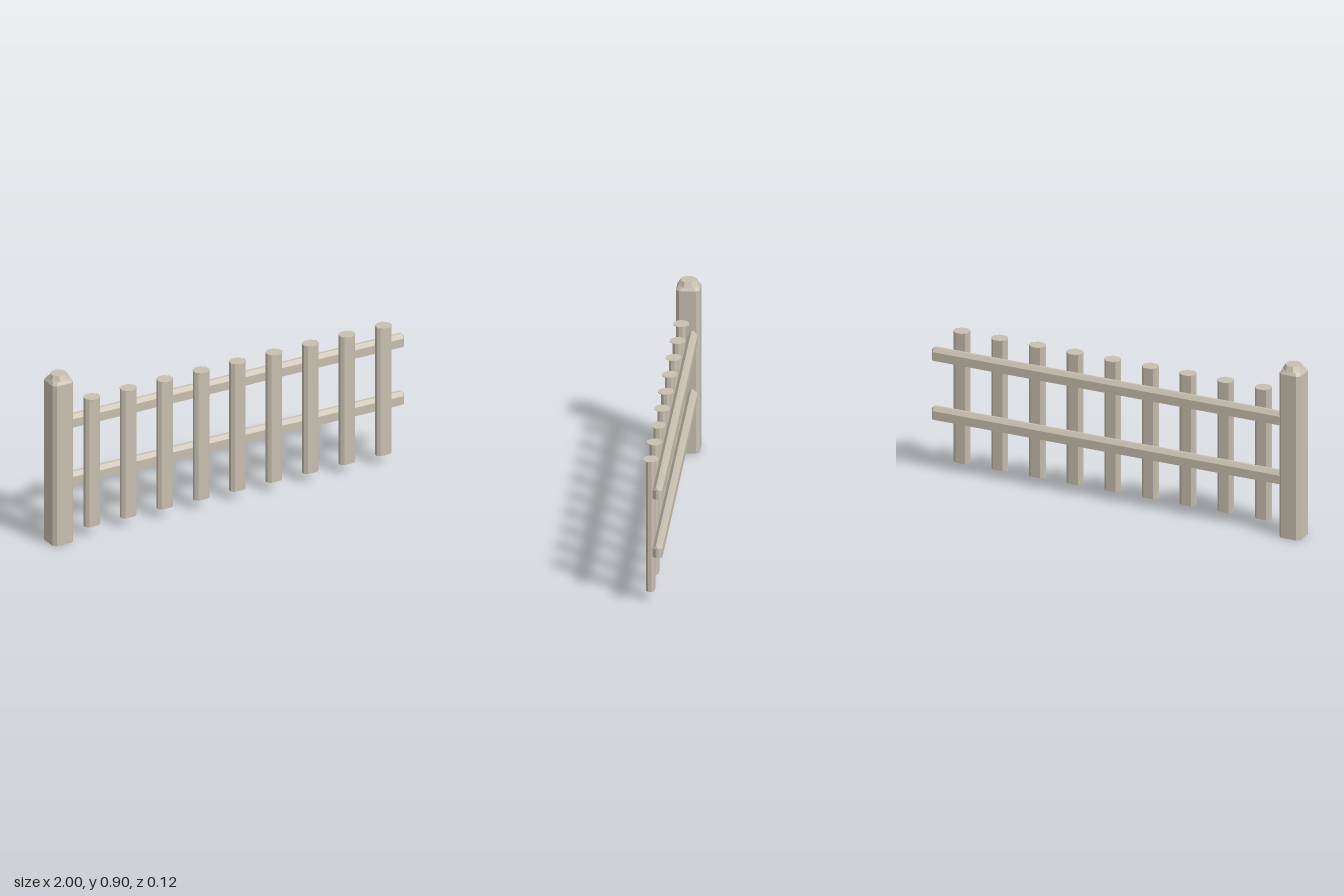
import * as THREE from 'three';

// Joins equal-length rings of Vector3 with flat faces; optional end caps.
function loft(rings, capStart, capEnd) {
  const pos = [];
  const tri = (...pts) => pts.forEach((p) => pos.push(p.x, p.y, p.z));
  const n = rings[0].length;
  for (let r = 0; r < rings.length - 1; r++) {
    for (let i = 0; i < n; i++) {
      const j = (i + 1) % n;
      const [a, b, c, d] = [rings[r][i], rings[r][j], rings[r + 1][j], rings[r + 1][i]];
      tri(a, b, c);
      tri(a, c, d);
    }
  }
  const last = rings[rings.length - 1];
  for (let i = 1; i < n - 1; i++) {
    if (capStart) tri(rings[0][0], rings[0][i + 1], rings[0][i]);
    if (capEnd) tri(last[0], last[i], last[i + 1]);
  }
  const geo = new THREE.BufferGeometry();
  geo.setAttribute('position', new THREE.Float32BufferAttribute(pos, 3));
  geo.computeVertexNormals();
  return geo;
}

// Horizontal rectangle with cut corners, wound so lofting upward faces outward.
function octagon(y, hx, hz, cx, cz) {
  return [
    [hx, hz - cz], [hx, -hz + cz], [hx - cx, -hz], [-hx + cx, -hz],
    [-hx, -hz + cz], [-hx, hz - cz], [-hx + cx, hz], [hx - cx, hz],
  ].map(([x, z]) => new THREE.Vector3(x, y, z));
}

// Upright rail section with a bevelled top, in the plane x.
function railSection(x, halfWidth, shoulder, top, topHalf) {
  return [
    [0, halfWidth], [0, -halfWidth], [shoulder, -halfWidth],
    [top, -topHalf], [top, topHalf], [shoulder, halfWidth],
  ].map(([y, z]) => new THREE.Vector3(x, y, z));
}

export function createModel() {
  const model = new THREE.Group();
  model.name = 'fence';
  const wood = new THREE.MeshStandardMaterial({ color: 0xc8bfb0, side: THREE.DoubleSide, flatShading: true });
  wood.name = 'paleWood';

  const add = (parent, name, geometry, x = 0, y = 0, z = 0) => {
    const mesh = new THREE.Mesh(geometry, wood);
    mesh.name = name;
    mesh.position.set(x, y, z);
    parent.add(mesh);
  };

  // End post, open underneath, with a bevelled shoulder and a faceted cap
  const post = new THREE.Group();
  post.name = 'endPost';
  post.position.x = -0.942;
  model.add(post);
  add(post, 'postShaft', loft([
    octagon(0, 0.058, 0.058, 0.017, 0.017),
    octagon(0.86, 0.058, 0.058, 0.017, 0.017),
    octagon(0.877, 0.046, 0.046, 0.017, 0.017),
  ], false, true));
  add(post, 'postCap', loft([
    octagon(0.875, 0.051, 0.051, 0.03, 0.03),
    octagon(0.9, 0.038, 0.038, 0.022, 0.022),
  ], true, true));

  // Two long rails with bevelled free ends
  const railGeometry = loft([
    railSection(-0.92, 0.0235, 0.045, 0.065, 0.007),
    railSection(0.988, 0.0235, 0.045, 0.065, 0.007),
    railSection(1, 0.006, 0.045, 0.052, 0.003),
  ], true, true);
  [['lowerRail', 0.275], ['upperRail', 0.585]].forEach(([name, y]) => add(model, name, railGeometry, 0, y, -0.025));

  // Nine flattened pickets, open underneath, each topped by a wider thin disc
  const picketGeometry = loft([
    octagon(0.05, 0.041, 0.0215, 0.015, 0.0125),
    octagon(0.74, 0.041, 0.0215, 0.015, 0.0125),
  ], false, false);
  const discGeometry = loft([
    octagon(0.738, 0.04, 0.0375, 0.023, 0.022),
    octagon(0.74, 0.04, 0.0375, 0.023, 0.022),
  ], true, true);
  for (let i = 0; i < 9; i++) {
    const picket = new THREE.Group();
    picket.name = 'picket';
    picket.position.set(-0.768 + i * 0.2037, 0, 0.02);
    add(picket, 'picketShaft', picketGeometry);
    add(picket, 'picketTop', discGeometry);
    model.add(picket);
  }
  return model;
}
